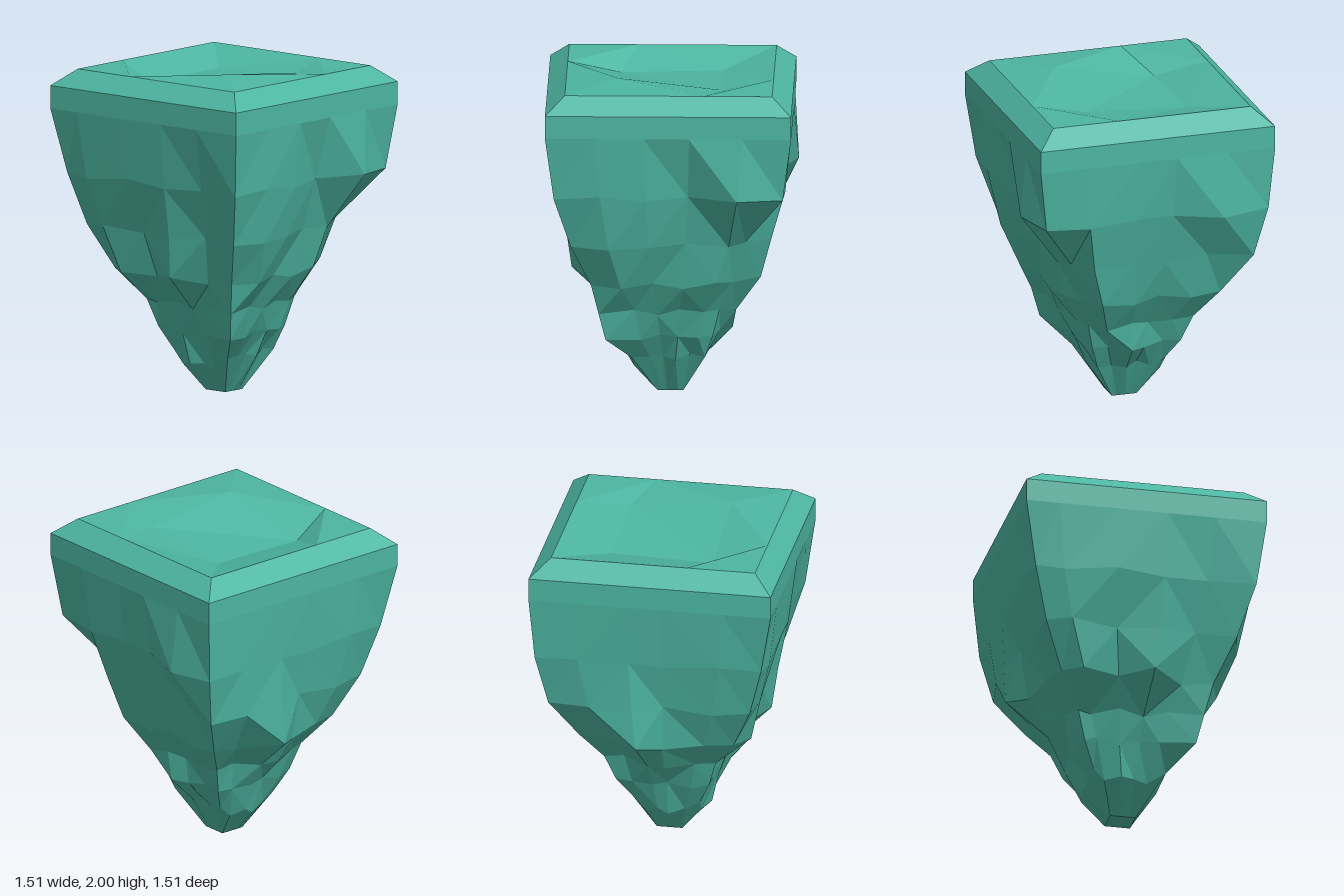
import * as THREE from 'three';

const CX = -0.013, CZ = 0.012; // the square plan sits slightly off centre

// Flat-faceted mesh from a list of triangles (three Vector3 each)
function facetMesh(name, tris, material) {
  const geometry = new THREE.BufferGeometry().setFromPoints(tris.flat());
  geometry.computeVertexNormals();
  const mesh = new THREE.Mesh(geometry, material);
  mesh.name = name;
  return mesh;
}

// Join two equal closed rings (upper, lower), splitting quads on the shorter diagonal
function bridge(upper, lower, tris) {
  const n = upper.length;
  for (let j = 0; j < n; j++) {
    const k = (j + 1) % n;
    const [a, b, c, d] = [upper[j], lower[j], lower[k], upper[k]];
    if (a.distanceTo(c) < b.distanceTo(d)) tris.push([a, b, c], [a, c, d]);
    else tris.push([a, b, d], [b, c, d]);
  }
}

// Square ring, corners in order front-left, front-right, back-right, back-left
function square(r, y) {
  return [[-1, 1], [1, 1], [1, -1], [-1, -1]].map(
    ([sx, sz]) => new THREE.Vector3(CX + sx * r, y, CZ + sz * r));
}

// Basic taper of the rock: height and half width
const LEVELS = [[1.73, 0.742], [1.34, 0.69], [1.02, 0.6], [0.75, 0.48], [0.56, 0.35], [0.39, 0.29], [0.24, 0.2], [0, 0.078]];

// Walls in ring order. Each starts with its corner (at -1), followed by four columns:
// position along the wall, then the bulge (+) or groove (-) at the six inner levels.
const WALLS = [
  { // front
    at: [-1, -0.72, -0.24, 0.18, 0.57],
    bulge: [
      [-0.02, -0.015, -0.015, -0.02, -0.01, 0.01], [0, 0.02, 0.07, -0.03, 0, 0.01],
      [0.01, -0.03, 0, 0.02, 0.01, 0.055], [0, 0.03, 0.115, 0.01, 0.01, 0.02],
      [-0.03, -0.04, -0.02, 0.04, 0.05, 0.02]],
  },
  { // right-hand side, with the tall groove and the high overhang
    at: [-1, -0.6, -0.2, 0.17, 0.6],
    bulge: [
      [0, -0.01, -0.01, 0.075, 0.095, 0.03], [0.02, 0.04, 0.05, 0.04, 0.03, 0.02],
      [0, 0.01, 0, 0.02, 0.01, 0.01], [-0.06, -0.06, -0.01, 0.01, 0.01, 0.03],
      [0.075, -0.09, -0.015, -0.01, 0, 0]],
  },
  { // back
    at: [-1, -0.6, -0.15, 0.17, 0.6],
    bulge: [
      [0, -0.14, -0.1, -0.05, -0.03, 0.01], [0.01, 0.015, 0.07, 0.05, 0.01, 0],
      [0, 0, 0.03, 0.05, 0.085, 0.02], [-0.01, -0.02, 0.01, 0, 0.03, 0.01],
      [0.075, -0.02, 0.02, 0.02, 0.01, 0]],
  },
  { // left-hand side, with the low overhang
    at: [-1, -0.65, -0.2, 0.1, 0.6],
    bulge: [
      [0.02, 0.04, 0, 0, 0, 0], [0.02, 0.08, 0, 0, 0.01, 0.01],
      [0.01, 0.09, 0.205, 0.08, 0.03, 0.05], [0, 0.03, 0.1, 0.115, 0.03, 0.04],
      [0.01, 0.02, 0.04, 0.04, 0.02, 0.02]],
  },
];

function rockRing([y, r], level) {
  const ring = [];
  WALLS.forEach(({ at, bulge }, side) => {
    const a = side * Math.PI / 2;
    at.forEach((t, i) => {
      const offset = bulge[i][level - 1] ?? 0;
      const depth = r + offset;
      const along = t * (i ? r : depth); // corners move diagonally
      const inner = i > 0 && level > 0 && level < LEVELS.length - 1;
      // stagger the heights so facets do not line up
      let dy = inner ? 0.02 * Math.sin(level * 2.3 + i * 2.6 + side * 2.7) : 0;
      if (inner && level === 6 && side % 3 === 0) dy -= 0.06;
      ring.push(new THREE.Vector3(
        CX + along * Math.cos(a) + depth * Math.sin(a), y + dy,
        CZ - along * Math.sin(a) + depth * Math.cos(a)));
    });
  });
  return ring;
}

export function createModel() {
  const group = new THREE.Group();
  group.name = 'rockChunk';
  const teal = new THREE.MeshStandardMaterial({ color: 0x4db6a2 });
  teal.name = 'teal';

  // Tapering rock underside with a flat tip
  const rock = [];
  const rings = LEVELS.map(rockRing);
  for (let i = 0; i < rings.length - 1; i++) bridge(rings[i], rings[i + 1], rock);
  const tip = rings[rings.length - 1];
  const centre = new THREE.Vector3(CX, 0, CZ);
  tip.forEach((p, j) => rock.push([p, centre, tip[(j + 1) % tip.length]]));
  group.add(facetMesh('taperedRock', rock, teal));

  // Straight upper band and bevelled rim
  const band = [], bevel = [];
  const shoulder = square(0.742, 1.87), rim = square(0.625, 1.97);
  bridge(shoulder, square(0.742, 1.73), band);
  bridge(rim, shoulder, bevel);
  group.add(facetMesh('upperBand', band, teal), facetMesh('bevelledRim', bevel, teal));

  // Uneven top: rim corners, a point along each edge, and four inner points
  const V = (x, y, z) => new THREE.Vector3(x, y, z);
  const [fl, fr, br, bl] = rim;
  const f = V(-0.22, 1.97, 0.637), r = V(0.612, 1.97, -0.2), b = V(0.2, 1.97, -0.613), l = V(-0.638, 1.97, 0.22);
  const ifl = V(-0.33, 1.875, 0.32), ifr = V(0.3, 2, 0.32), ibr = V(0.3, 1.93, -0.3), ibl = V(-0.33, 1.89, -0.3);
  group.add(facetMesh('unevenTop', [
    [fl, f, l], [l, f, ifl], [f, ifr, ifl], [f, fr, ifr],
    [fr, r, ifr], [r, ibr, ifr], [r, br, b], [r, b, ibr],
    [b, ibl, ibr], [b, bl, ibl], [bl, l, ibl], [l, ifl, ibl],
    [ifl, ifr, ibr], [ifl, ibr, ibl],
  ], teal));
  return group;
}
